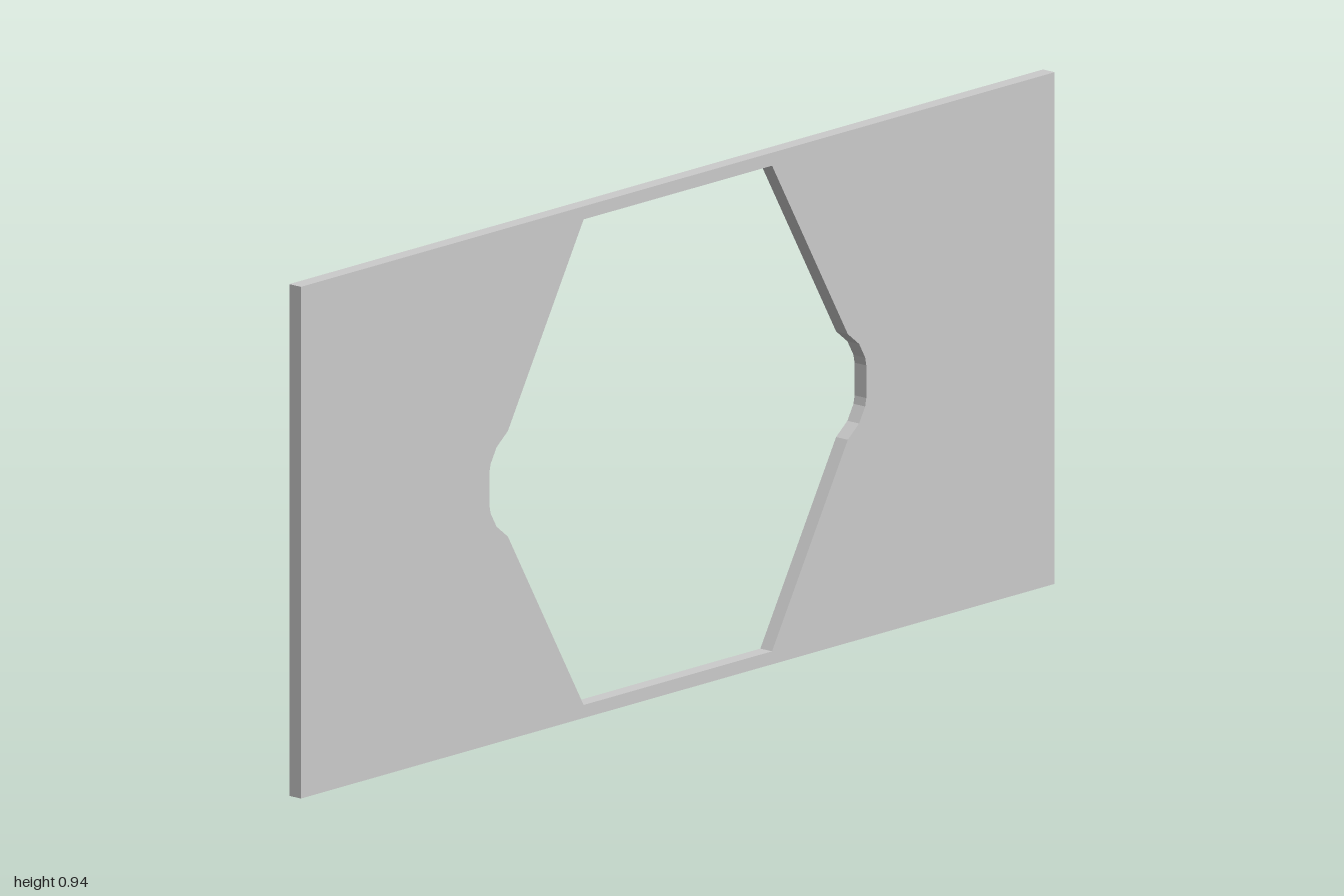
import * as THREE from 'three';

const WIDTH = 2, HEIGHT = 0.94, DEPTH = 0.028, MID = HEIGHT / 2;

export function createModel() {
  const group = new THREE.Group();
  group.name = 'panel';

  // Rectangular outline
  const outline = new THREE.Shape([
    new THREE.Vector2(-WIDTH / 2, 0),
    new THREE.Vector2(WIDTH / 2, 0),
    new THREE.Vector2(WIDTH / 2, HEIGHT),
    new THREE.Vector2(-WIDTH / 2, HEIGHT),
  ]);

  // One quarter of the hexagonal opening with its rounded side notch
  const quarter = [[0.5, 0.03], [0.497, 0.045], [0.481, 0.073], [0.451, 0.097], [0.25, 0.446]];
  const mirror = (points, sx, sy) => points.map(([x, y]) => [x * sx, y * sy]);
  const loop = [
    ...quarter,
    ...mirror(quarter, -1, 1).reverse(),
    ...mirror(quarter, -1, -1),
    ...mirror(quarter, 1, -1).reverse(),
  ];
  outline.holes.push(new THREE.Path(loop.map(([x, y]) => new THREE.Vector2(x, MID + y))));

  // Thin plate
  const geometry = new THREE.ExtrudeGeometry(outline, { depth: DEPTH, bevelEnabled: false });
  geometry.translate(0, 0, -DEPTH / 2);
  const plate = new THREE.Mesh(
    geometry,
    new THREE.MeshStandardMaterial({ color: 0xcccccc, flatShading: true })
  );
  plate.name = 'plateWithHexagonalOpening';
  group.add(plate);
  return group;
}
